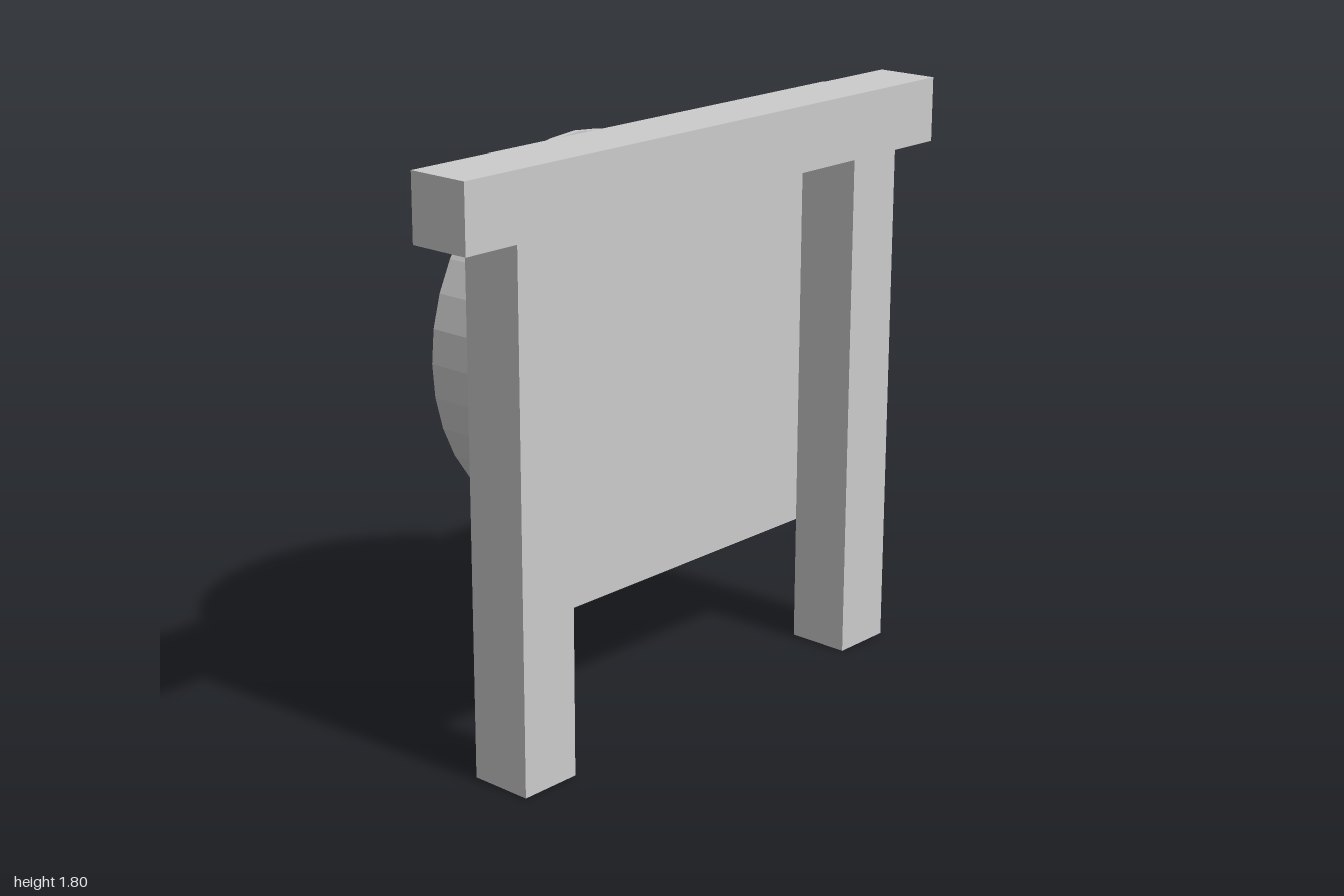
import * as THREE from 'three';

const material = new THREE.MeshStandardMaterial({ color: 0xcccccc, flatShading: true });

function addMesh(group, name, geometry, x, y, z) {
  const mesh = new THREE.Mesh(geometry, material);
  mesh.name = name;
  mesh.position.set(x, y, z);
  group.add(mesh);
}

// Points on a circle, one every 10 degrees
function arcPoints(radius, fromStep, toStep) {
  const points = [];
  for (let i = fromStep; i <= toStep; i++) {
    const a = THREE.MathUtils.degToRad(i * 10);
    points.push(new THREE.Vector2(radius * Math.cos(a), radius * Math.sin(a)));
  }
  return points;
}

export function createModel() {
  const group = new THREE.Group();

  // Frame: top beam on two square legs
  addMesh(group, 'topBeam', new THREE.BoxGeometry(2, 0.2, 0.2), 0, 1.7, 0.19);
  for (const [name, side] of [['leftLeg', 1], ['rightLeg', -1]]) {
    addMesh(group, name, new THREE.BoxGeometry(0.2, 1.6, 0.2), side * 0.714, 0.8, 0.19);
  }

  // Thin panel fixed to the back of the frame
  addMesh(group, 'backPanel', new THREE.BoxGeometry(1.428, 1.4, 0.006), 0, 1.1, 0.087);

  // Hollow drum: an open wall with a slot on top, closed by a disc at the back
  const radius = 0.595, thickness = 0.02, drumY = 1.108, backZ = -0.29;
  const wall = new THREE.Shape([
    ...arcPoints(radius, 10, 44),
    ...arcPoints(radius - thickness, 10, 44).reverse(),
  ]);
  const wallDepth = 0.084 - backZ - thickness;
  addMesh(group, 'drumWall',
    new THREE.ExtrudeGeometry(wall, { depth: wallDepth, bevelEnabled: false }),
    0, drumY, backZ + thickness);
  addMesh(group, 'drumBack',
    new THREE.ExtrudeGeometry(new THREE.Shape(arcPoints(radius, 0, 35)), { depth: thickness, bevelEnabled: false }),
    0, drumY, backZ);

  return group;
}
